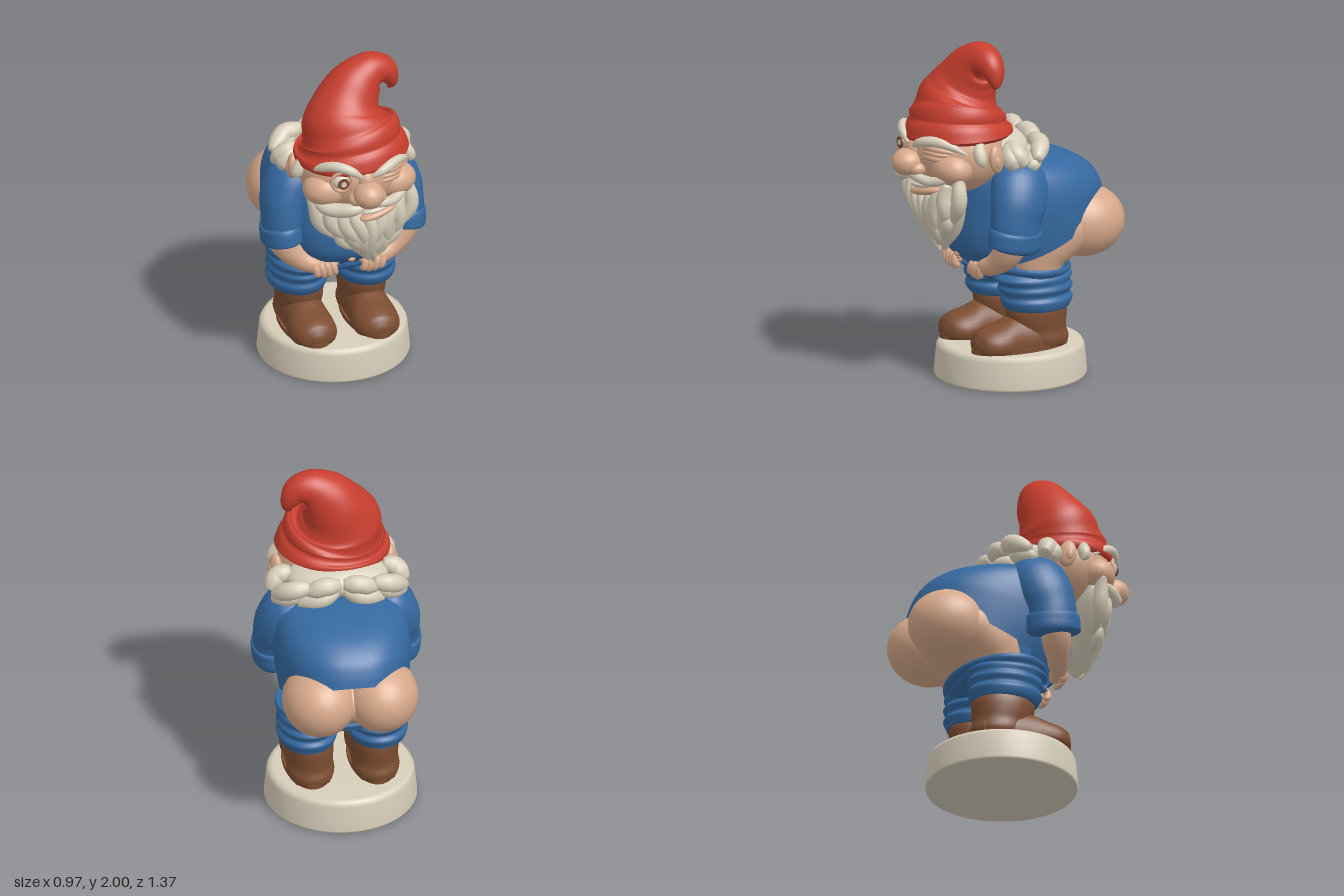
import * as THREE from 'three';

const mat = (name, color, side = THREE.FrontSide) => {
  const m = new THREE.MeshStandardMaterial({ color, side });
  m.name = name;
  return m;
};
const V = (x, y, z) => new THREE.Vector3(x, y, z);
const X = V(1, 0, 0), Y = V(0, 1, 0), Z = V(0, 0, 1);

export function createModel() {
  const root = new THREE.Group();
  root.name = 'gardenGnome';
  const blue = mat('denim blue', 0x3569a0, THREE.DoubleSide);
  const red = mat('hat red', 0xc73e2e);
  const skin = mat('skin', 0xd6a88a);
  const ivory = mat('ivory', 0xd6cdb9);
  const brown = mat('boot brown', 0x7c4d31);

  const add = (name, geo, m, parent = root) => {
    const mesh = new THREE.Mesh(geo, m);
    mesh.name = name;
    parent.add(mesh);
    return mesh;
  };
  const blob = (name, m, p, r, rot = [0, 0, 0], parent = root) => {
    const mesh = add(name, new THREE.SphereGeometry(1, 32, 22), m, parent);
    mesh.position.set(...p);
    mesh.scale.set(...r);
    mesh.rotation.set(...rot);
    return mesh;
  };
  // Skin a list of equal-sized rings; optional caps at the start and end
  const loft = (rings, capA = true, capB = true) => {
    const n = rings[0].length, pos = [], idx = [];
    rings.forEach(r => r.forEach(p => pos.push(p.x, p.y, p.z)));
    for (let i = 0; i < rings.length - 1; i++) for (let j = 0; j < n; j++) {
      const a = i * n + j, b = i * n + (j + 1) % n;
      idx.push(a, b, b + n, a, b + n, a + n);
    }
    const cap = (k, flip) => {
      const c = rings[k].reduce((s, p) => s.add(p), V(0, 0, 0)).divideScalar(n);
      const ci = pos.length / 3;
      pos.push(c.x, c.y, c.z);
      for (let j = 0; j < n; j++) {
        const a = k * n + j, b = k * n + (j + 1) % n;
        flip ? idx.push(ci, b, a) : idx.push(ci, a, b);
      }
    };
    if (capA) cap(0, true);
    if (capB) cap(rings.length - 1, false);
    const g = new THREE.BufferGeometry();
    g.setAttribute('position', new THREE.Float32BufferAttribute(pos, 3));
    g.setIndex(idx);
    g.computeVertexNormals();
    return g;
  };
  // Sweep an ellipse along points [x, y, z, radiusA, radiusB]; a fixed axis keeps all rings parallel
  const sweep = (pts, { ref = Z, axis = null, n = 20, steps = 4 } = {}) => {
    const path = new THREE.CatmullRomCurve3(pts.map(p => V(p[0], p[1], p[2])));
    const rad = new THREE.CatmullRomCurve3(pts.map(p => V(p[3], p[4] ?? p[3], 0)), false, 'catmullrom', 0.5);
    const N = (pts.length - 1) * steps, rings = [];
    for (let i = 0; i <= N; i++) {
      const c = path.getPoint(i / N), T = axis ?? path.getTangent(i / N), r = rad.getPoint(i / N);
      const side = V().crossVectors(ref, T).normalize(), up = V().crossVectors(T, side);
      rings.push(Array.from({ length: n }, (_, j) => {
        const a = j / n * Math.PI * 2;
        return c.clone().addScaledVector(side, Math.cos(a) * r.x).addScaledVector(up, Math.sin(a) * r.y);
      }));
    }
    return loft(rings);
  };
  // Move the vertices of a geometry's y by a rule
  const bendY = (g, rule) => {
    const p = g.attributes.position;
    for (let i = 0; i < p.count; i++) p.setY(i, rule(p.getY(i), p.getZ(i)));
    g.computeVertexNormals();
    return g;
  };

  // Plinth
  const plinth = [[0, 0], [0.425, 0], [0.432, 0.015], [0.418, 0.165], [0.405, 0.19], [0.38, 0.198], [0, 0.198]];
  add('plinth', new THREE.LatheGeometry(plinth.map(p => new THREE.Vector2(...p)), 64), ivory).position.z = -0.075;

  for (const s of [1, -1]) {
    const side = new THREE.Group();
    side.name = s > 0 ? 'leftLimbs' : 'rightLimbs';
    root.add(side);
    const put = (name, m, pts, opt) => add(name, sweep(pts.map(([x, ...r]) => [s * x, ...r]), opt), m, side);

    // Boot: foot, shaft and sole
    const foot = put('bootFoot', brown, [[0.185, 0.24, -0.31, 0.05, 0.04], [0.185, 0.24, -0.28, 0.1, 0.09],
      [0.185, 0.24, -0.15, 0.125, 0.15], [0.185, 0.24, 0.02, 0.125, 0.15], [0.185, 0.24, 0.1, 0.135, 0.12],
      [0.185, 0.24, 0.18, 0.127, 0.1], [0.185, 0.24, 0.235, 0.09, 0.075], [0.185, 0.24, 0.262, 0.03, 0.025]],
    { ref: Y, axis: Z, n: 32 });
    bendY(foot.geometry, y => Math.max(0.203, y));
    put('bootShaft', brown, [[0.185, 0.21, -0.17, 0.125, 0.155], [0.185, 0.25, -0.165, 0.135, 0.165],
      [0.185, 0.3, -0.15, 0.128, 0.165], [0.185, 0.36, -0.14, 0.133, 0.178], [0.185, 0.42, -0.135, 0.133, 0.185],
      [0.185, 0.47, -0.13, 0.12, 0.17]], { axis: Y, n: 36 });
    const sole = add('bootSole', new THREE.CylinderGeometry(1, 1, 0.025, 40), brown, side);
    sole.scale.set(0.14, 1, 0.3);
    sole.position.set(s * 0.185, 0.211, -0.03);

    // Rumpled trouser leg
    put('trouserLeg', blue, [[0.2, 0.445, -0.135, 0.12, 0.15], [0.2, 0.43, -0.135, 0.15, 0.185],
      [0.2, 0.45, -0.13, 0.165, 0.2], [0.2, 0.485, -0.13, 0.172, 0.215], [0.2, 0.515, -0.125, 0.157, 0.202],
      [0.195, 0.55, -0.125, 0.178, 0.222], [0.195, 0.58, -0.12, 0.167, 0.21], [0.19, 0.615, -0.11, 0.178, 0.235],
      [0.19, 0.65, -0.11, 0.15, 0.2]], { axis: Y, n: 40 });

    // Bare thigh and buttock
    put('thigh', skin, [[0.18, 0.56, -0.15, 0.12, 0.12], [0.18, 0.68, -0.16, 0.13, 0.135],
      [0.18, 0.77, -0.2, 0.155, 0.165], [0.18, 0.86, -0.3, 0.175, 0.18], [0.18, 0.88, -0.42, 0.17, 0.18]], { ref: X, n: 28 });
    blob('buttock', skin, [s * 0.175, 0.882, -0.45], [0.21, 0.206, 0.238], [0, 0, 0], side);

    // Sleeve, rolled cuff and forearm
    put('sleeve', blue, [[0.2, 1.25, 0.02, 0.06, 0.1], [0.28, 1.215, 0.03, 0.12, 0.16], [0.338, 1.1, 0.06, 0.128, 0.165],
      [0.355, 1.0, 0.09, 0.118, 0.15], [0.362, 0.9, 0.1, 0.112, 0.138]], { n: 28 });
    put('cuff', blue, [[0.368, 0.955, 0.095, 0.1, 0.13], [0.366, 0.94, 0.097, 0.117, 0.157], [0.362, 0.89, 0.1, 0.119, 0.162],
      [0.36, 0.845, 0.105, 0.115, 0.158], [0.358, 0.828, 0.108, 0.09, 0.12]], { n: 32 });
    put('forearm', skin, [[0.37, 0.9, 0.11, 0.09], [0.335, 0.81, 0.13, 0.085], [0.265, 0.735, 0.165, 0.065],
      [0.19, 0.7, 0.195, 0.05], [0.15, 0.69, 0.2, 0.03]]);

    // Hand gripping the waistband
    blob('palm', skin, [s * 0.165, 0.69, 0.195], [0.075, 0.045, 0.04], [0, 0, s * 0.3], side);
    for (let k = 0; k < 4; k++) {
      const x = 0.085 + k * 0.034, y = 0.012 * Math.abs(k - 1.5);
      put('finger', skin, [[x + 0.02, 0.715, 0.205, 0.012], [x + 0.012, 0.7, 0.225, 0.021], [x + 0.002, 0.66, 0.232, 0.02],
        [x - 0.004, 0.628 + y, 0.22, 0.017], [x - 0.004, 0.615 + y, 0.21, 0.005]], { n: 12 });
    }
    put('thumb', skin, [[0.16, 0.72, 0.19, 0.02], [0.11, 0.715, 0.21, 0.021], [0.07, 0.7, 0.215, 0.016], [0.06, 0.697, 0.215, 0.004]],
      { ref: Y, n: 12 });

    // Ear, cheek and nostril
    blob('ear', skin, [s * 0.328, 1.365, 0.2], [0.032, 0.082, 0.052], [0.15, s * 0.4, 0], side);
    blob('earLobe', skin, [s * 0.35, 1.355, 0.205], [0.02, 0.04, 0.024], [0.15, s * 0.4, 0], side);
    blob('cheek', skin, [s * 0.19, 1.31, 0.41], [0.14, 0.1, 0.115], [0, 0, 0], side);
    blob('nostril', skin, [s * 0.065, 1.295, 0.56], [0.045, 0.04, 0.05], [0, 0, 0], side);

    // Thick hair locks around the back, short sideburn in front of the ear
    const locks = [
      [[0.01, 1.425, -0.125], [0.1, 1.425, -0.138], [0.2, 1.39, -0.125]],
      [[0.18, 1.42, -0.12], [0.28, 1.4, -0.11], [0.375, 1.34, -0.04]],
      [[0.26, 1.42, 0.08], [0.34, 1.385, 0.08], [0.39, 1.32, 0.04]],
      [[0.02, 1.36, -0.09], [0.12, 1.33, -0.115], [0.24, 1.295, -0.08]],
      [[0.19, 1.36, -0.06], [0.28, 1.33, -0.06], [0.375, 1.295, -0.01]],
      [[0.28, 1.42, 0.1], [0.335, 1.36, 0.11], [0.365, 1.3, 0.09]],
    ];
    for (const [a, b, c] of locks) {
      const m = (p, q) => p.map((v, i) => (v + q[i]) / 2);
      put('hairLock', ivory, [[...a, 0.03], [...m(a, b), 0.05], [...b, 0.053], [...m(b, c), 0.05], [...c, 0.026]],
        { ref: Y, n: 14 });
    }
    put('sideburn', ivory, [[0.28, 1.47, 0.28, 0.02], [0.31, 1.42, 0.3, 0.036], [0.335, 1.37, 0.3, 0.033],
      [0.345, 1.335, 0.285, 0.008]], { n: 14 });

    // Moustache half: the winking side is thinner and pulled up in a grin
    const up = s > 0 ? 0.035 : 0, thick = s > 0 ? 0.7 : 1;
    put('moustache', ivory, [[0.01, 1.245, 0.575, 0.014], [0.08, 1.235 + up / 2, 0.575, 0.036 * thick],
      [0.16, 1.22 + up / 2, 0.53, 0.042 * thick], [0.23, 1.225 + up, 0.48, 0.036 * thick], [0.29, 1.265 + up, 0.4, 0.008]],
    { ref: Y, n: 16 });
    // Bushy eyebrow, the open eye's one is raised
    const lift = s > 0 ? -0.02 : 0;
    put('eyebrow', ivory, [[0.03, 1.425, 0.565, 0.012], [0.09, 1.475 + lift, 0.565, 0.026], [0.17, 1.495 + lift, 0.52, 0.03],
      [0.24, 1.465 + lift / 2, 0.45, 0.025], [0.295, 1.405, 0.37, 0.006]], { ref: Y, n: 14 });
  }

  // Trouser waist pulled down, open at the top and lower at the back
  const waist = sweep([[0, 0.575, -0.11, 0.3, 0.19], [0, 0.61, -0.11, 0.352, 0.245], [0, 0.64, -0.11, 0.36, 0.252],
    [0, 0.665, -0.115, 0.378, 0.28], [0, 0.69, -0.115, 0.372, 0.273], [0, 0.68, -0.115, 0.35, 0.25],
    [0, 0.6, -0.11, 0.32, 0.21]], { axis: Y, n: 56, steps: 3 });
  add('trouserWaist', bendY(waist, (y, z) => y + 0.08 * z * Math.min(1, Math.max(0, (y - 0.575) / 0.06))), blue);
  blob('waistButton', blue, [0, 0.665, 0.175], [0.025, 0.025, 0.015]);

  // Pelvis and navel
  blob('pelvis', skin, [0, 0.87, -0.33], [0.26, 0.17, 0.265]);
  blob('navel', skin, [0, 0.745, 0.268], [0.022, 0.018, 0.016]);

  // Shirt: slanted oval sections from hem to collar, [backY, backZ, frontY, frontZ, halfWidth]
  const shirt = [[1.04, -0.615, 0.685, 0.2, 0.362], [1.1, -0.595, 0.765, 0.285, 0.378], [1.17, -0.555, 0.86, 0.305, 0.386],
    [1.245, -0.45, 1.0, 0.295, 0.378], [1.3, -0.24, 1.13, 0.27, 0.345], [1.31, -0.06, 1.22, 0.24, 0.25], [1.3, 0.04, 1.27, 0.2, 0.12]];
  const back = new THREE.CatmullRomCurve3(shirt.map(p => V(p[4], p[0], p[1])));
  const front = new THREE.CatmullRomCurve3(shirt.map(p => V(p[4], p[2], p[3])));
  const shirtRings = [];
  for (let i = 0; i <= 30; i++) {
    const b = back.getPoint(i / 30), f = front.getPoint(i / 30);
    shirtRings.push(Array.from({ length: 64 }, (_, j) => {
      const a = j / 64 * Math.PI * 2, k = (1 - Math.cos(a)) / 2, sn = Math.sin(a);
      const sag = 0.05 * sn ** 2 * Math.max(0, 1 - i / 8);
      return V(Math.sign(sn) * Math.abs(sn) ** 0.8 * (b.x + f.x) / 2, b.y + (f.y - b.y) * k - sag, b.z + (f.z - b.z) * k);
    }));
  }
  add('shirt', loft(shirtRings, false, true), blue);

  // Head, nose, mouth
  blob('head', skin, [0, 1.37, 0.28], [0.315, 0.25, 0.28]);
  blob('nose', skin, [0, 1.325, 0.59], [0.088, 0.078, 0.092]);
  blob('noseBridge', skin, [0, 1.39, 0.54], [0.05, 0.07, 0.05]);
  blob('teeth', ivory, [0.06, 1.2, 0.53], [0.085, 0.02, 0.04], [0, 0.15, 0.12]);
  blob('lowerLip', skin, [0.08, 1.168, 0.515], [0.12, 0.028, 0.05], [0, 0.25, 0.2]);
  blob('hairMass', ivory, [0, 1.38, 0.06], [0.29, 0.1, 0.185]);

  // Open eye with lid ring, winking eye with folded lids
  blob('eyeball', ivory, [-0.14, 1.4, 0.515], [0.055, 0.047, 0.047]);
  const lid = add('eyelid', new THREE.TorusGeometry(0.057, 0.012, 10, 28), skin);
  lid.position.set(-0.14, 1.4, 0.532);
  lid.rotation.y = -0.25;
  [['iris', brown, 0.033, 0.56], ['eyeGlint', ivory, 0.016, 0.564]].forEach(([name, m, r, z]) => {
    const d = add(name, new THREE.CylinderGeometry(r, r, 0.008, 20), m);
    d.position.set(-0.138, 1.4, z);
    d.rotation.x = Math.PI / 2;
  });
  for (let k = 0; k < 3; k++) {
    const y = 1.425 - k * 0.027;
    add('winkFold', sweep([[0.07, y - 0.01, 0.535, 0.006], [0.14, y + 0.005, 0.53, 0.018], [0.2, y, 0.49, 0.017],
      [0.26, y - 0.015 + 0.01 * k, 0.415, 0.005]], { ref: Y, n: 10 }), skin);
  }

  // Beard: full core with overlapping wavy strands
  const beardAt = (u, y) => {
    const t = (1.29 - y) / 0.49, w = 0.31 * (1 - t ** 1.9);
    const depth = 0.11 * Math.sin(Math.PI * (0.3 + 0.62 * t));
    return [0.065 * t + u * w, y, 0.395 + depth * Math.sqrt(1 - u * u)];
  };
  add('beardCore', sweep([[0, 1.25, 0.38, 0.26, 0.07], [0.01, 1.15, 0.4, 0.27, 0.112], [0.03, 1.02, 0.405, 0.215, 0.122],
    [0.05, 0.9, 0.395, 0.115, 0.1], [0.06, 0.8, 0.39, 0.015, 0.015]], { axis: V(0, -1, 0), n: 32 }), ivory);
  const strand = (u, y0, y1, r, phase) => {
    const pts = [];
    for (let k = 0; k <= 6; k++) {
      const t = k / 6, p = beardAt(u, y0 + (y1 - y0) * t);
      p[0] += 0.014 * Math.sin(t * 7 + phase);
      pts.push([...p, r * (0.2 + 0.8 * Math.sin(Math.PI * (0.12 + 0.86 * t)))]);
    }
    add('beardStrand', sweep(pts, { n: 12, steps: 3 }), ivory);
  };
  for (let i = 0; i < 9; i++) {
    const u = (i - 4) / 4.15;
    strand(u, 1.17 + 0.125 * u * u, 0.84 + 0.14 * Math.abs(u) + 0.03 * (i % 2), 0.046, i * 1.3);
    if (i < 6) strand((i - 2.5) / 3.1, 1.07, 0.8 + 0.03 * Math.abs(i - 3), 0.036, i * 2.1 + 1);
  }

  // Crumpled hat, its tip curling over to the left
  add('hat', sweep([[0, 1.43, 0.265, 0.3, 0.28], [-0.002, 1.455, 0.265, 0.328, 0.308], [-0.004, 1.495, 0.265, 0.315, 0.298],
    [-0.008, 1.53, 0.262, 0.288, 0.272], [-0.012, 1.565, 0.258, 0.29, 0.268], [-0.02, 1.6, 0.25, 0.262, 0.242],
    [-0.024, 1.64, 0.24, 0.252, 0.23], [-0.018, 1.685, 0.225, 0.222, 0.2], [0.005, 1.75, 0.205, 0.183, 0.172],
    [0.06, 1.83, 0.19, 0.152, 0.14], [0.14, 1.888, 0.18, 0.113, 0.105], [0.21, 1.882, 0.175, 0.084, 0.08],
    [0.25, 1.835, 0.17, 0.057, 0.06], [0.262, 1.785, 0.17, 0.035, 0.035], [0.248, 1.755, 0.17, 0.008, 0.008]], { n: 48, steps: 5 }), red);
  return root;
}
